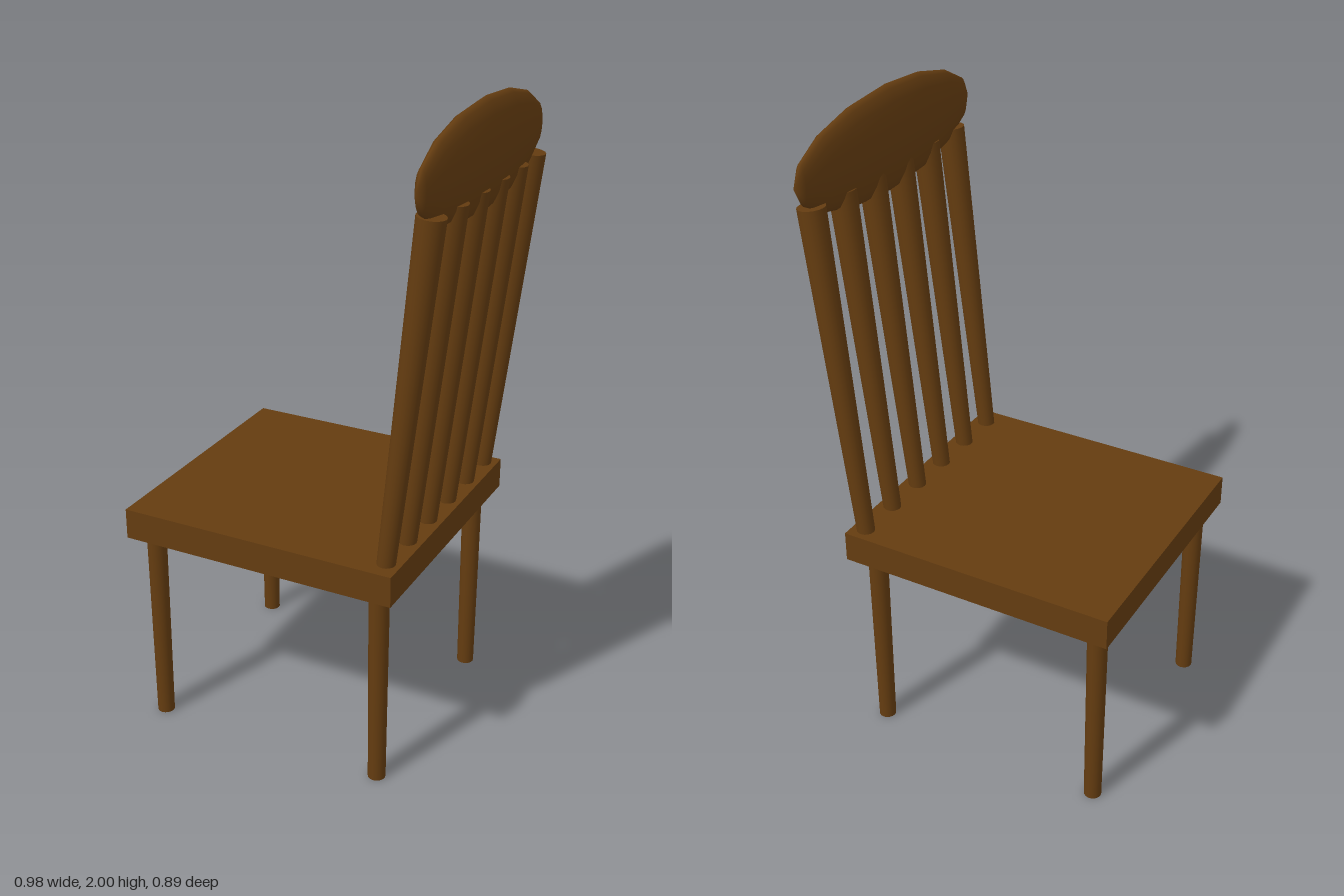
import * as THREE from 'three';

const wood = new THREE.MeshStandardMaterial({ color: 0x643c10 });
const UP = new THREE.Vector3(0, 1, 0);

function part(name, geometry, x, y, z) {
  const mesh = new THREE.Mesh(geometry, wood);
  mesh.name = name;
  mesh.position.set(x, y, z);
  return mesh;
}

// Tapered round rod running from a to b
function rod(name, a, b, radiusA, radiusB) {
  const axis = b.clone().sub(a);
  const mid = a.clone().add(b).multiplyScalar(0.5);
  const geometry = new THREE.CylinderGeometry(radiusB, radiusA, axis.length(), 16);
  const mesh = part(name, geometry, mid.x, mid.y, mid.z);
  mesh.quaternion.setFromUnitVectors(UP, axis.normalize());
  return mesh;
}

export function createModel() {
  const chair = new THREE.Group();
  chair.name = 'chair';

  // Seat slab; the sitter faces -x
  chair.add(part('seat', new THREE.BoxGeometry(0.88, 0.096, 0.836), -0.055, 0.693, 0));

  // Four slightly tapered legs
  for (const [name, x] of [['frontLeg', -0.433], ['backLeg', 0.32]]) {
    for (const z of [-0.346, 0.352]) {
      chair.add(rod(name, new THREE.Vector3(x, 0, z), new THREE.Vector3(x, 0.68, z), 0.027, 0.031));
    }
  }

  // Six leaning spindles, thicker towards the top
  const spindles = new THREE.Group();
  spindles.name = 'backSpindles';
  for (let i = 0; i < 6; i++) {
    const z = -0.371 + i * 0.1447;
    spindles.add(rod('spindle', new THREE.Vector3(0.336, 0.70, z), new THREE.Vector3(0.449, 1.766, z), 0.027, 0.041));
  }
  chair.add(spindles);

  // Flattened oval crest rail with its poles at the two ends
  const crest = new THREE.SphereGeometry(1, 16, 8);
  crest.rotateX(Math.PI / 2);
  crest.scale(0.043, 0.158, 0.447);
  chair.add(part('crestRail', crest, 0.444, 1.842, 0));

  return chair;
}
